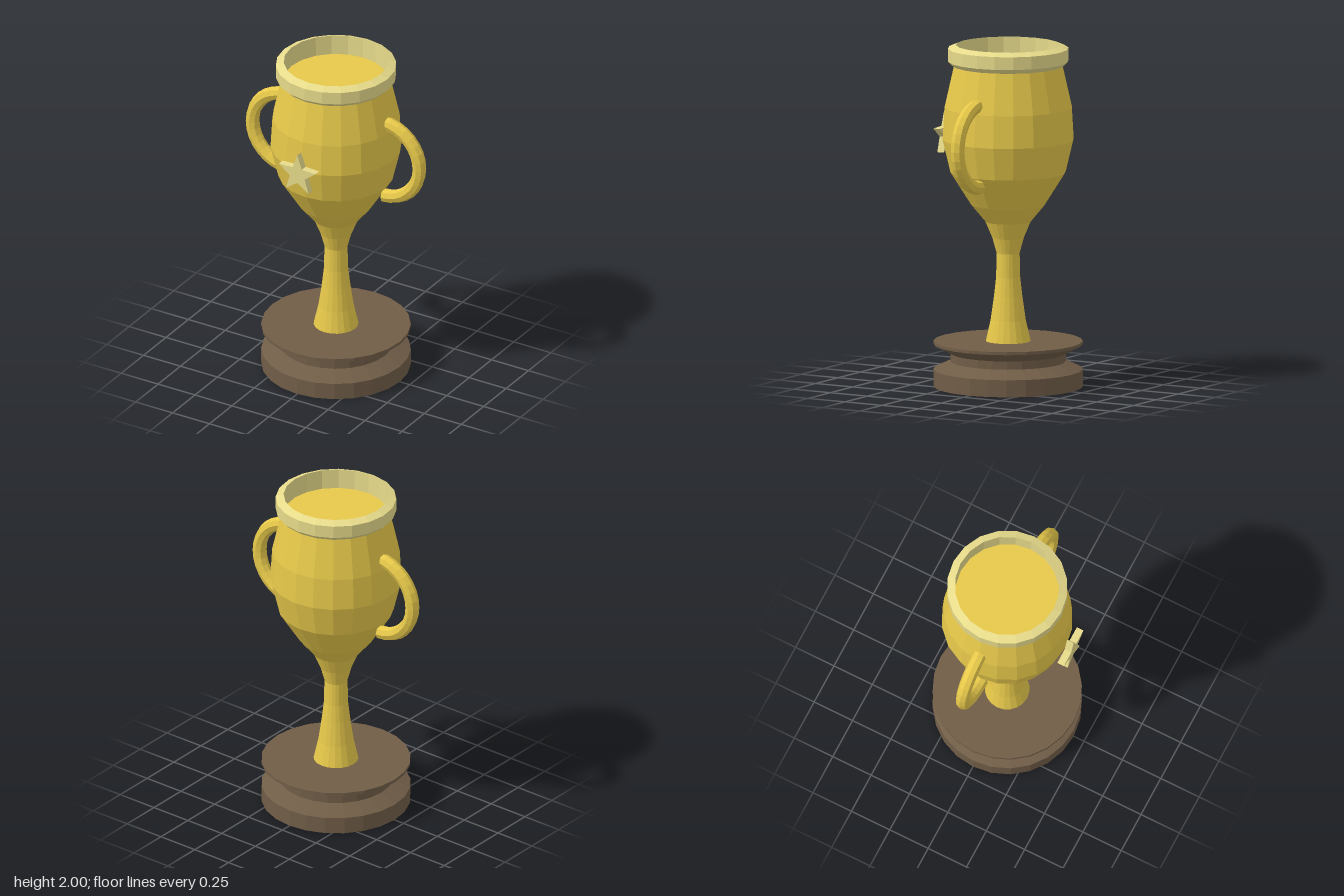
import * as THREE from 'three';

const flat = (color) => new THREE.MeshStandardMaterial({ color, flatShading: true });

function addMesh(parent, name, geometry, material) {
  const mesh = new THREE.Mesh(geometry, material);
  mesh.name = name;
  parent.add(mesh);
  return mesh;
}

// Turned part from [radius, height] pairs, listed from bottom to top
function lathe(profile, sides) {
  return new THREE.LatheGeometry(profile.map(([r, y]) => new THREE.Vector2(r, y)), sides);
}

function starShape(outer, inner) {
  const points = [];
  for (let i = 0; i < 10; i++) {
    const r = i % 2 ? inner : outer;
    const a = Math.PI / 2 + (i * Math.PI) / 5;
    points.push(new THREE.Vector2(r * Math.cos(a), r * Math.sin(a)));
  }
  return new THREE.Shape(points);
}

export function createModel() {
  const model = new THREE.Group();
  model.name = 'trophyCup';
  const gold = flat(0xe6c84a);
  const paleGold = flat(0xe6da8a);
  const wood = flat(0x705d47);

  // Stepped plinth with a waisted middle
  addMesh(model, 'base', lathe([
    [0, 0], [0.433, 0], [0.433, 0.1], [0.335, 0.147], [0.335, 0.195],
    [0.433, 0.247], [0.433, 0.265], [0, 0.265],
  ], 24), wood);

  // Flared stem and bowl, closed just inside the rim
  addMesh(model, 'stemAndBowl', lathe([
    [0.13, 0.265], [0.102, 0.39], [0.082, 0.53], [0.07, 0.64], [0.067, 0.78],
    [0.092, 0.87], [0.132, 0.965], [0.215, 1.065], [0.335, 1.255],
    [0.381, 1.447], [0.37, 1.637], [0.315, 1.88], [0, 1.88],
  ], 20), gold);

  // Bevelled lip, open in the middle
  addMesh(model, 'rim', lathe([
    [0.302, 1.875], [0.325, 1.88], [0.35, 1.905], [0.35, 1.98], [0.304, 2], [0.302, 1.875],
  ], 20), paleGold);

  // Half-ring handles
  for (const [name, side] of [['leftHandle', 1], ['rightHandle', -1]]) {
    const handle = addMesh(model, name, new THREE.TorusGeometry(0.24, 0.041, 8, 16, Math.PI), gold);
    handle.rotation.z = -side * Math.PI / 2;
    handle.position.set(side * 0.325, 1.447, 0);
  }

  // Star plaque on the front
  const star = addMesh(model, 'star', new THREE.ExtrudeGeometry(starShape(0.13, 0.053), {
    depth: 0.043, bevelEnabled: false,
  }), paleGold);
  star.position.set(0, 1.45, 0.39);

  return model;
}
